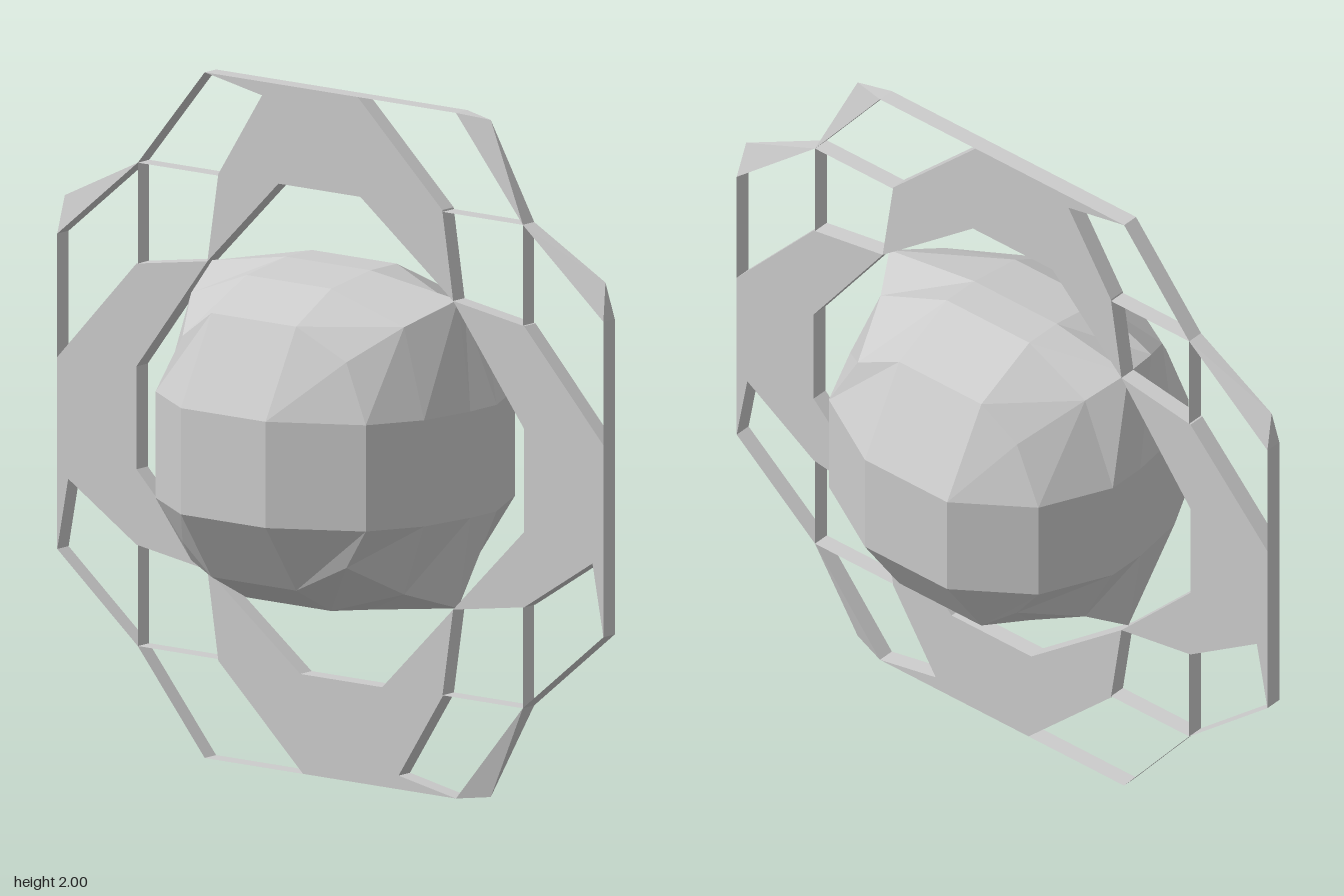
import * as THREE from 'three';

const Z0 = -0.03, Z1 = 0.022; // back and front of the thin ring

export function createModel() {
  const model = new THREE.Group();
  const solid = new THREE.MeshStandardMaterial({ color: 0xcccccc, flatShading: true });
  const thin = new THREE.MeshStandardMaterial({ color: 0xcccccc, flatShading: true, side: THREE.DoubleSide });

  const add = (name, geometry, material) => {
    const mesh = new THREE.Mesh(geometry, material);
    mesh.name = name;
    mesh.position.y = 1;
    model.add(mesh);
  };
  const fromPoints = (points) => {
    const g = new THREE.BufferGeometry();
    g.setAttribute('position', new THREE.Float32BufferAttribute(points.flat(), 3));
    g.computeVertexNormals();
    return g;
  };

  // Core: a 3 x 3 x 4 grid box swollen into a ball, with pinched corners in the ring plane
  const layers = [ // back to front: depth, side distance, corner distance
    { z: -0.33, d: 0.395, c: 0.3 },
    { z: -0.12, d: 0.495, c: 0.385 },
    { z: 0, d: 0.495, c: 0.45 },
    { z: 0.18, d: 0.47, c: 0.39 },
    { z: 0.34, d: 0.385, c: 0.3 },
  ];
  const inner = [0, -0.18, 0.13, 0];
  const core = new THREE.BoxGeometry(3, 3, 4, 3, 3, 4).toNonIndexed();
  const p = core.attributes.position;
  for (let i = 0; i < p.count; i++) {
    const ix = Math.round(p.getX(i) + 1.5), iy = Math.round(p.getY(i) + 1.5);
    const { z, d, c } = layers[Math.round(p.getZ(i) + 2)];
    const edgeX = ix % 3 === 0, edgeY = iy % 3 === 0;
    const r = edgeX && edgeY ? c : d;
    const depth = !edgeX && !edgeY ? Math.sign(z) * 0.48 : edgeX && edgeY ? z * 0.95 : z;
    p.setXYZ(i,
      edgeX ? Math.sign(ix - 1.5) * r : inner[ix],
      edgeY ? Math.sign(iy - 1.5) * r : inner[iy],
      depth);
  }
  core.computeVertexNormals();
  add('core', core, solid);

  // Four arched panels: one outline, mirrored and turned
  const outline = [[-1, 0.1], [-0.71, 0.41], [-0.45, 0.45], [-0.71, 0.11], [-0.71, -0.19],
    [-0.45, -0.45], [-0.71, -0.41], [-0.96, -0.25], [-1, -0.46]];
  const panels = {
    rightPanel: ([x, y]) => [x, y],
    leftPanel: ([x, y]) => [-x, y],
    topPanel: ([x, y]) => [y, -x],
    bottomPanel: ([x, y]) => [-y, x],
  };
  for (const [name, turn] of Object.entries(panels)) {
    const shape = new THREE.Shape(outline.map((q) => new THREE.Vector2(...turn(q))));
    const g = new THREE.ExtrudeGeometry(shape, { depth: Z1 - Z0, bevelEnabled: false });
    g.translate(0, 0, Z0);
    add(name, g, solid);
  }

  // Thin strips standing edge-on along a path
  const strip = (name, path) => {
    const points = [];
    for (let i = 0; i + 1 < path.length; i++) {
      const [a, b] = [path[i], path[i + 1]];
      points.push([...a, Z0], [...b, Z0], [...b, Z1], [...a, Z0], [...b, Z1], [...a, Z1]);
    }
    add(name, fromPoints(points), thin);
  };
  for (const sx of [-1, 1]) {
    for (const sy of [-1, 1]) {
      const corner = [sx * 0.705, sy * 0.705];
      strip('innerCornerStrip', [[sx * 0.705, sy * 0.41], corner, [sx * 0.41, sy * 0.705]]);
      strip('outerRimStrip', [[sx, sy * 0.46], corner, [sx * 0.46, sy]]);
    }
  }
  strip('sideRimStrip', [[-1, 0.1], [-1, 0.46]]);
  strip('sideRimStrip', [[1, 0.1], [1, 0.46]]);
  strip('topRimStrip', [[0.1, 1], [0.46, 1]]);
  strip('bottomRimStrip', [[-0.1, -1], [-0.46, -1]]);

  // Tapered fins outside the rim: rim end, tip, corner
  const fins = [
    [[-1, 0.46], [-0.99, 0.57], [-0.705, 0.705]],
    [[1, 0.46], [0.99, 0.57], [0.705, 0.705]],
    [[0.46, 1], [0.57, 0.99], [0.705, 0.705]],
    [[0.46, -1], [0.57, -0.985], [0.705, -0.705]],
  ];
  for (const [a, t, b] of fins) {
    const tip = [...t, 0];
    const ends = [[...a, Z1], [...b, Z1], [...b, Z0], [...a, Z0]];
    add('cornerFin', fromPoints(ends.flatMap((e, i) => [e, ends[(i + 1) % 4], tip])), thin);
  }
  return model;
}
